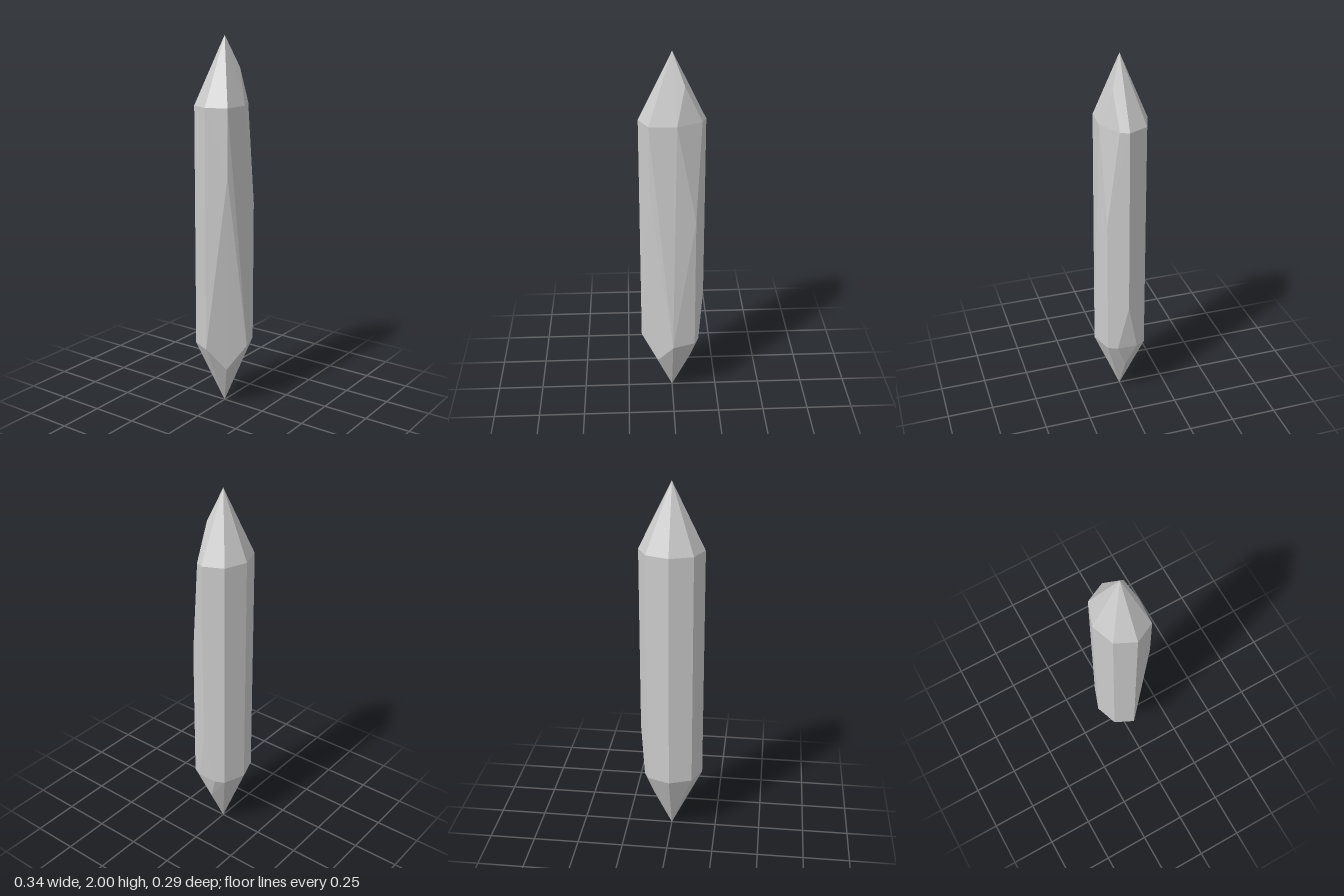
import * as THREE from 'three';
import { ConvexGeometry } from 'three/addons/geometries/ConvexGeometry.js';

const LOW = 0.357, HIGH = 1.65;
const v = (x, y, z) => new THREE.Vector3(x, y, z);

export function createModel() {
  const group = new THREE.Group();
  group.name = 'crystal';

  // Pointed tips
  const points = [v(0, 0, 0), v(0, 2, 0)];

  // Regular half of the eight-sided shaft, both shoulders
  for (const y of [LOW, HIGH]) {
    for (const [x, z] of [[-0.171, 0], [-0.121, -0.104], [0, -0.147], [0.121, -0.104]]) {
      points.push(v(x, y, z));
    }
  }

  // Front shoulders, the upper one worn back
  points.push(v(0, LOW, 0.147), v(0.121, LOW, 0.104));
  points.push(v(-0.121, HIGH, 0.104), v(0.02, HIGH, 0.112), v(0.171, HIGH, 0));

  // Chipped facet on the upper left front edge
  points.push(v(0.061, 1.837, 0.053), v(0.149, HIGH, 0.045), v(0.121, 1.12, 0.104));

  // Long chipped facet on the lower right front edge
  points.push(v(-0.121, 1.3, 0.104), v(-0.081, 0.225, 0.07));

  // Diamond-shaped chip on the lower left side
  points.push(v(0.171, 0.63, 0), v(0.106, 0.21, 0));
  for (const s of [-1, 1]) points.push(v(0.145, LOW, s * 0.055));

  const shard = new THREE.Mesh(
    new ConvexGeometry(points),
    new THREE.MeshStandardMaterial({ color: 0xcccccc, flatShading: true })
  );
  shard.name = 'crystalShard';
  group.add(shard);
  return group;
}
